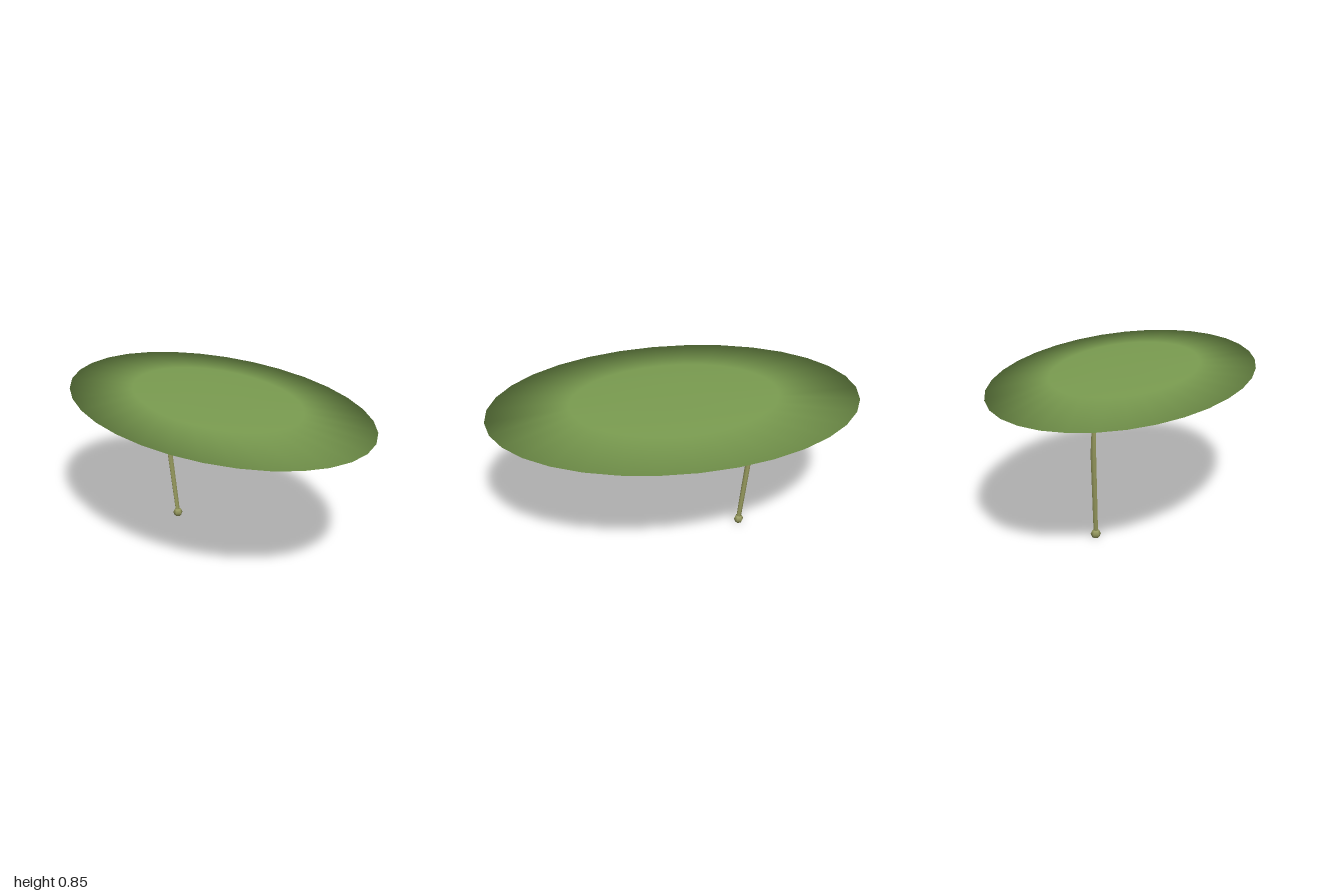
import * as THREE from 'three';

export function createModel() {
  const model = new THREE.Group();
  const leafGreen = new THREE.MeshStandardMaterial({ color: 0x7a9c50 });
  leafGreen.name = 'leafGreen';
  const stemOlive = new THREE.MeshStandardMaterial({ color: 0x94975c });
  stemOlive.name = 'stemOlive';

  const add = (name, geometry, material) => {
    const mesh = new THREE.Mesh(geometry, material);
    mesh.name = name;
    model.add(mesh);
    return mesh;
  };

  // Oval pad: a thin lens with a sharp rim, smooth all over
  const profile = [
    [0, 0.775], [0.2, 0.775], [0.56, 0.778], [1, 0.812],
    [0.56, 0.847], [0.2, 0.851], [0, 0.851],
  ].map(([r, y]) => new THREE.Vector2(r, y));
  const pad = new THREE.LatheGeometry(profile, 32);
  pad.scale(1, 1, 0.655);
  add('pad', pad, leafGreen);

  // Bent stem: rings given as x, y, z, radius from top to bottom
  const rings = [
    [-0.402, 0.785, 0, 0.027],
    [-0.412, 0.63, 0, 0.013],
    [-0.428, 0.5, 0.003, 0.016],
    [-0.366, 0.03, -0.016, 0.013],
  ];
  const stem = new THREE.CylinderGeometry(1, 1, 1, 6, rings.length - 1);
  const pos = stem.attributes.position;
  for (let i = 0; i < pos.count; i++) {
    const [x, y, z, r] = rings[Math.round((0.5 - pos.getY(i)) * (rings.length - 1))];
    pos.setXYZ(i, x + pos.getX(i) * r, y, z + pos.getZ(i) * r);
  }
  stem.computeVertexNormals();
  add('stem', stem, stemOlive);

  // Small knob at the foot of the stem
  const knob = add('stemKnob', new THREE.SphereGeometry(0.027, 6, 4), stemOlive);
  knob.position.set(-0.367, 0.027, -0.016);

  return model;
}
